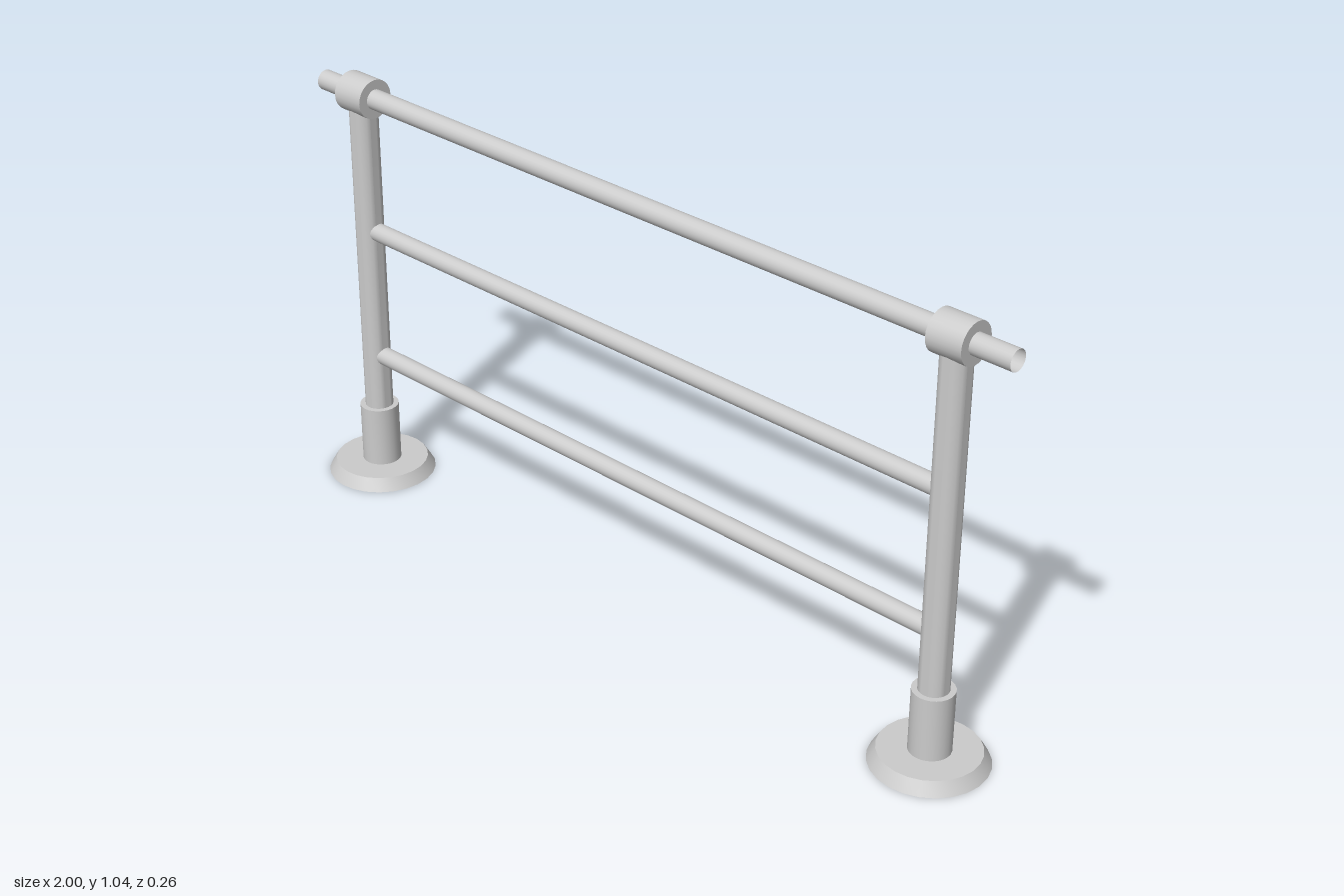
import * as THREE from 'three';
import { toCreasedNormals } from 'three/addons/utils/BufferGeometryUtils.js';

const SIDES = 24;
const RAIL_Y = 0.99, RAIL_R = 0.024, POST_R = 0.034, SLEEVE_R = 0.047;
const POST_X = { left: 0.86, right: -0.868 };

const material = new THREE.MeshStandardMaterial({ color: 0xcccccc, side: THREE.DoubleSide });

// Turned part from a profile of [radius, y] pairs, with sharp edges kept
function turned(name, profile) {
  const points = profile.map(([r, y]) => new THREE.Vector2(r, y));
  const geometry = toCreasedNormals(new THREE.LatheGeometry(points, SIDES), 0.6);
  const mesh = new THREE.Mesh(geometry, material);
  mesh.name = name;
  return mesh;
}

// Open pipe running along x from x0 to x1 at height y
function pipe(name, radius, x0, x1, y) {
  const geometry = new THREE.CylinderGeometry(radius, radius, x1 - x0, SIDES, 1, true);
  geometry.rotateZ(Math.PI / 2);
  const mesh = new THREE.Mesh(geometry, material);
  mesh.name = name;
  mesh.position.set((x0 + x1) / 2, y, 0);
  return mesh;
}

// Upright: floor flange, sleeve, post and the collar that holds the top rail
function createUpright(side) {
  const upright = new THREE.Group();
  upright.name = `${side}Upright`;
  upright.position.x = POST_X[side];

  const flange = turned('floorFlange', [
    [SLEEVE_R, 0], [0.131, 0], [0.113, 0.03], [SLEEVE_R, 0.03], [SLEEVE_R, 0],
  ]);
  const sleeve = turned('sleeve', [[SLEEVE_R, 0.03], [SLEEVE_R, 0.18], [POST_R, 0.18]]);
  const post = turned('post', [[POST_R, 0.18], [POST_R, 0.965]]);

  const half = 0.043;
  const collar = turned('railCollar', [
    [RAIL_R, -half], [SLEEVE_R, -half], [SLEEVE_R, half], [RAIL_R, half],
  ]);
  collar.rotation.z = Math.PI / 2;
  collar.position.y = RAIL_Y;

  upright.add(flange, sleeve, post, collar);
  return upright;
}

export function createModel() {
  const model = new THREE.Group();
  model.name = 'guardRail';

  model.add(createUpright('left'), createUpright('right'));

  // Top rail passes through both collars
  model.add(pipe('topRail', RAIL_R, -1, 1, RAIL_Y));

  // Lower rails end just inside the posts
  const x0 = POST_X.right + 0.022, x1 = POST_X.left - 0.022;
  model.add(pipe('middleRail', 0.022, x0, x1, 0.65));
  model.add(pipe('lowerRail', 0.022, x0, x1, 0.32));

  return model;
}
